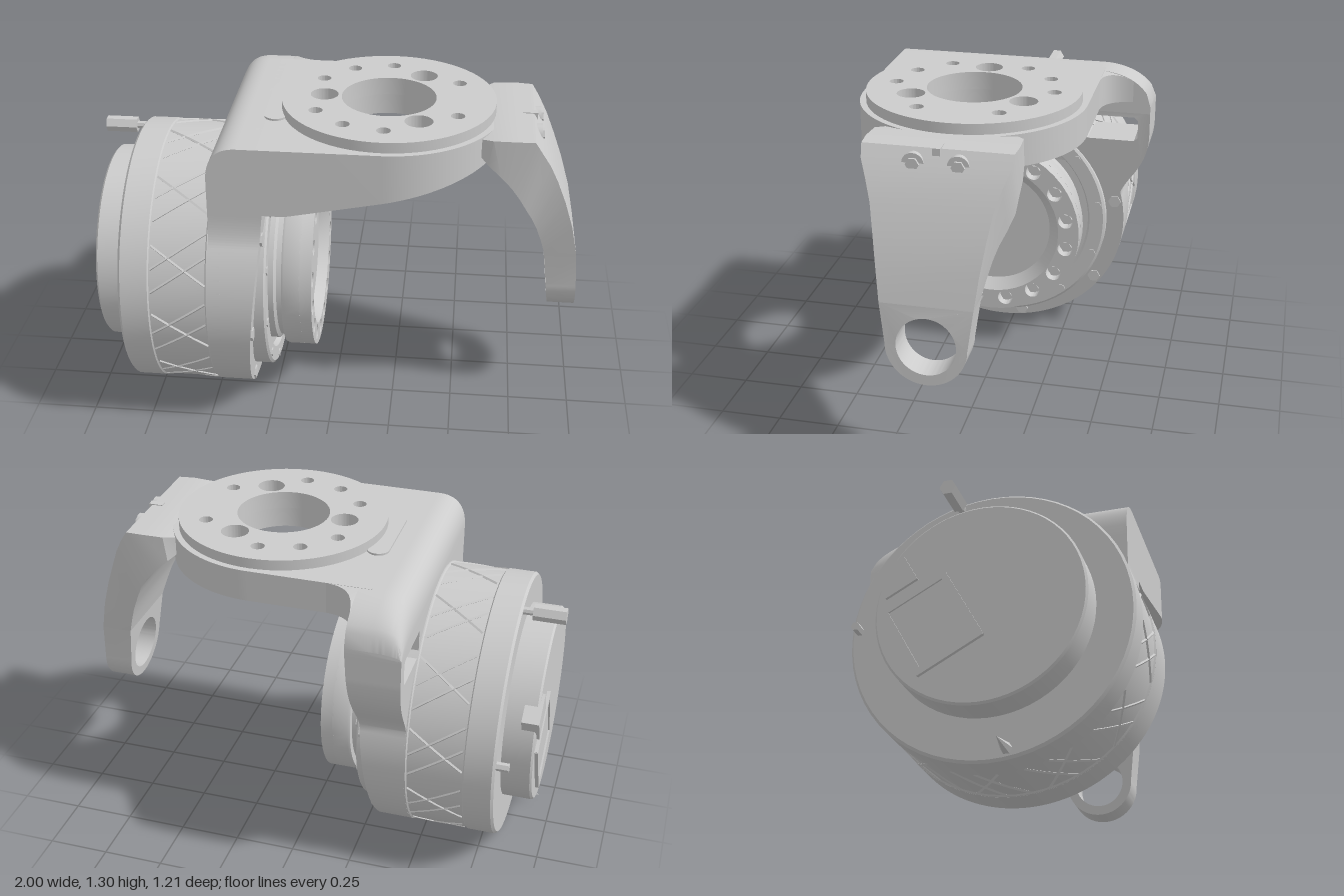
import * as THREE from 'three';
import { toCreasedNormals } from 'three/addons/utils/BufferGeometryUtils.js';

const CY = 0.56, CZ = 0.05; // motor axis, running along x
const grey = new THREE.MeshStandardMaterial({ color: 0xcccccc });
const TAU = Math.PI * 2;

export function createModel() {
  const model = new THREE.Group();

  function add(name, geo, parent = model, crease = 0.55) {
    const mesh = new THREE.Mesh(toCreasedNormals(geo, crease), grey);
    mesh.name = name;
    parent.add(mesh);
    return mesh;
  }
  function group(name) {
    const g = new THREE.Group();
    g.name = name;
    model.add(g);
    return g;
  }
  // Move every vertex of a geometry by a rule
  function reshape(geo, rule) {
    const p = geo.attributes.position;
    for (let i = 0; i < p.count; i++) p.setXYZ(i, ...rule(p.getX(i), p.getY(i), p.getZ(i)));
    return geo;
  }
  const circle = (x, y, r) => new THREE.Path().absarc(x, y, r, 0, TAU, true);
  const disc = (x, y, r) => new THREE.Shape().absarc(x, y, r, 0, TAU, false);
  const solid = (shape, depth, curveSegments = 32, steps = 1) =>
    new THREE.ExtrudeGeometry(shape, { depth, bevelEnabled: false, curveSegments, steps });
  // Shape drawn in (-z, y), pushed along x
  const extrudeX = (shape, x0, x1, seg) =>
    solid(shape, x1 - x0, seg).rotateY(Math.PI / 2).translate(x0, 0, 0);
  // Shape drawn in (x, -z), pushed along y
  const extrudeY = (shape, y0, y1, seg) =>
    solid(shape, y1 - y0, seg).rotateX(-Math.PI / 2).translate(0, y0, 0);
  // Profile of [radius, x] turned about the motor axis
  const turned = (pts) =>
    new THREE.LatheGeometry(pts.map(([r, x]) => new THREE.Vector2(r, x)), 64)
      .rotateZ(-Math.PI / 2).translate(0, CY, CZ);
  const rodX = (r, x0, x1, y, z, sides) =>
    new THREE.CylinderGeometry(r, r, x1 - x0, sides).rotateZ(-Math.PI / 2).translate((x0 + x1) / 2, y, z);
  const polar = (r, deg) => {
    const a = deg * Math.PI / 180;
    return { y: CY + r * Math.sin(a), z: CZ + r * Math.cos(a) };
  };

  // Motor body, with its shallow band and shoulder
  add('motorHousing', turned([[0, -0.83], [0.545, -0.83], [0.555, -0.82], [0.555, -0.71], [0.549, -0.705],
    [0.549, -0.48], [0.555, -0.475], [0.555, -0.42], [0, -0.42]]));

  // Criss-cross ribs on the band
  const ribs = group('bandRibs');
  for (let i = 0; i < 36; i++) {
    const pts = [];
    for (let k = 0; k <= 4; k++) {
      const p = polar(0.549, i * 10 + (i % 3 === 0 ? -1 : 1) * k * 4);
      pts.push(new THREE.Vector3(-0.7 + k * 0.055, p.y, p.z));
    }
    add('rib', new THREE.TubeGeometry(new THREE.CatmullRomCurve3(pts), 6, 0.006, 4), ribs);
  }

  // Rear cap with its connector boxes
  add('rearCap', turned([[0, -0.955], [0.4, -0.955], [0.408, -0.947], [0.408, -0.82], [0, -0.82]]).translate(0, 0.025, 0));
  const connector = group('rearConnector');
  add('connectorBlock', new THREE.BoxGeometry(0.06, 0.32, 0.28), connector);
  for (const s of [-1, 1]) {
    add('connectorSide', new THREE.BoxGeometry(0.075, 0.32, 0.025).translate(0, 0, s * 0.13), connector);
    add('connectorEnd', new THREE.BoxGeometry(0.075, 0.025, 0.28).translate(0, s * 0.15, 0), connector);
  }
  add('smallSocket', new THREE.BoxGeometry(0.07, 0.12, 0.14).translate(0, 0.26, -0.03), connector);
  connector.position.set(-0.932, 0.52, -0.13);
  connector.rotation.x = -0.5;

  // Rear studs
  const studs = group('rearStuds');
  add('studHead', rodX(0.033, -1, -0.87, 1.075, -0.07, 6), studs);
  add('studShaft', rodX(0.016, -0.88, -0.82, 1.075, -0.07, 8), studs);
  add('sideStud', rodX(0.018, -0.88, -0.82, 0.6, -0.47, 6), studs);
  add('lowerPin', new THREE.ConeGeometry(0.025, 0.13, 6).rotateZ(Math.PI / 2).translate(-0.885, 0.05, 0.12), studs);

  // Bracket wall: round collar below, windowed ear on the rear side
  const wall = new THREE.Shape();
  wall.moveTo(-0.505, 1.09);
  wall.lineTo(-0.505, 0.97);
  wall.quadraticCurveTo(-0.505, 0.88, -0.531, 0.8375);
  wall.absarc(-CZ, CY, 0.555, Math.PI * 5 / 6, TAU + 0.25, false);
  wall.bezierCurveTo(0.51, 0.77, 0.605, 0.83, 0.605, 0.98);
  wall.lineTo(0.605, 1.09);
  wall.closePath();
  const slot = new THREE.Path();
  slot.moveTo(0.34, 0.95);
  slot.lineTo(0.32, 0.97);
  slot.lineTo(0.32, 1.06);
  slot.lineTo(0.54, 1.06);
  slot.lineTo(0.555, 1.045);
  slot.lineTo(0.555, 0.965);
  slot.lineTo(0.54, 0.95);
  slot.closePath();
  wall.holes.push(slot);
  // Front face leans forward with height
  add('bracketWall', reshape(extrudeX(wall, -0.47, -0.34, 40), (x, y, z) => [
    x > -0.4 ? -0.345 + 0.09 * Math.min(y, 1.05) : x, y, z]));

  // Top edge falls away in a curve over the rear ear
  const earDrop = (x, y, z) => {
    const s = THREE.MathUtils.clamp((-0.38 - z) / 0.225, 0, 1);
    const top = 0.18 - 0.15 * (1 - Math.sqrt(1 - s * s));
    return [x, y > 1.081 ? 1.08 + (y - 1.08) * top / 0.18 : y, z];
  };

  // Rounded bend from the wall to the top plate
  const bend = new THREE.Shape();
  bend.moveTo(-0.47, 1.08);
  bend.lineTo(-0.47, 1.13);
  bend.quadraticCurveTo(-0.465, 1.26, -0.35, 1.26);
  bend.lineTo(-0.25, 1.26);
  bend.lineTo(-0.25, 1.08);
  bend.closePath();
  add('bracketBend', reshape(solid(bend, 1.11, 16, 60).translate(0, 0, -0.605), earDrop));

  // Fillet between the ear and the top plate
  const fillet = new THREE.Shape();
  fillet.moveTo(-0.29, 0.39);
  fillet.lineTo(-0.12, 0.39);
  fillet.lineTo(-0.12, 0.405);
  fillet.quadraticCurveTo(-0.235, 0.41, -0.25, 0.53);
  fillet.lineTo(-0.29, 0.53);
  fillet.closePath();
  add('earFillet', reshape(extrudeY(fillet, 1.13, 1.26, 12), (x, y, z) => (y > 1.2 ? earDrop(x, y, z) : [x, y, z])));

  // Top plate: D-shaped skirt around the ring seat
  const plate = new THREE.Shape();
  plate.moveTo(-0.3, -0.505);
  plate.lineTo(-0.17, -0.505);
  plate.lineTo(0.2, -0.505);
  plate.absarc(0.2, -CZ, 0.455, -Math.PI / 2, Math.PI / 2, false);
  plate.lineTo(-0.17, 0.405);
  plate.lineTo(-0.3, 0.405);
  plate.closePath();
  plate.holes.push(circle(0.2, -CZ, 0.36));
  // Underside slopes up along x on the front side and stays shallow on the rear side
  add('topPlate', reshape(extrudeY(plate, 1, 1.26), (x, y, z) => {
    if (y > 1.1) return [x, y, z];
    const slope = 0.98 + 0.205 * Math.max(0, x + 0.17);
    const t = THREE.MathUtils.clamp((z + 0.15) / 0.4, 0, 1);
    return [x, THREE.MathUtils.lerp(Math.max(1.13, slope), slope, t), z];
  }));

  // Mounting ring with its bolt holes: wide flange above, thick seat below
  function ringShape(radius) {
    const ring = disc(0.2, -CZ, radius);
    ring.holes.push(circle(0.2, -CZ, 0.19));
    for (let i = 1; i < 12; i++) {
      const a = i * TAU / 12, big = i % 4 === 2;
      const d = big ? 0.26 : 0.322, r = big ? 0.056 : 0.028;
      ring.holes.push(circle(0.2 + d * Math.cos(a), -CZ + d * Math.sin(a), r));
    }
    return ring;
  }
  add('mountingRing', extrudeY(ringShape(0.43), 1.23, 1.303));
  add('ringSeat', extrudeY(ringShape(0.36), 1.145, 1.23));

  // Oblong pad beside the ring
  const pad = new THREE.Shape();
  pad.absarc(-0.24, 0.09, 0.045, 0, Math.PI, false);
  pad.absarc(-0.24, -0.19, 0.045, Math.PI, TAU, false);
  pad.closePath();
  add('oblongPad', extrudeY(pad, 1.25, 1.268, 10));

  // Stepped collar and output flange
  add('stepRing', turned([[0, -0.4], [0.48, -0.4], [0.48, -0.258], [0.47, -0.25], [0.41, -0.25], [0.4, -0.27], [0, -0.27]]));
  add('flangeNeck', turned([[0, -0.3], [0.37, -0.3], [0.37, -0.235], [0.355, -0.225], [0.355, -0.19], [0, -0.19]]));
  add('flangeBack', turned([[0, -0.2], [0.385, -0.2], [0.39, -0.19], [0.39, -0.125], [0.3, -0.125]]));
  add('flangeRecess', turned([[0.3, -0.077], [0.255, -0.12], [0, -0.12]]));
  const flange = disc(-CZ, CY, 0.39);
  flange.holes.push(circle(-CZ, CY, 0.3));
  const bolts = group('bolts');
  for (let i = 0; i < 16; i++) {
    const p = polar(0.338, 11.25 + i * 22.5);
    flange.holes.push(circle(-p.z, p.y, 0.033));
    add('flangeBolt', rodX(0.024, -0.13, -0.098, p.y, p.z, 6), bolts);
  }
  add('flangeFace', extrudeX(flange, -0.13, -0.077, 24));
  for (let i = 0; i < 12; i++) {
    const p = polar(0.45, -10 + i * 30);
    add('stepBolt', rodX(0.018, -0.27, -0.245, p.y, p.z, 6), bolts);
  }
  for (let i = 0; i < 8; i++) {
    const p = polar(0.522, -10 + i * 45), x = -0.345 + 0.09 * p.y;
    add('collarBolt', rodX(0.028, x - 0.03, x + 0.008, p.y, p.z, 6), bolts);
  }

  // Curved arm: rows of outer x, outer y, inner x, inner y, half width
  const rows = [
    [0.57, 1.25, 0.57, 1.18, 0.25], [0.62, 1.26, 0.605, 1.155, 0.285], [0.71, 1.262, 0.655, 1.11, 0.29],
    [0.78, 1.26, 0.7, 1.06, 0.285], [0.81, 1.212, 0.735, 1.01, 0.28], [0.845, 1.15, 0.765, 0.95, 0.255],
    [0.88, 1.07, 0.79, 0.9, 0.23], [0.918, 0.97, 0.812, 0.85, 0.212], [0.955, 0.85, 0.834, 0.785, 0.194],
    [0.982, 0.72, 0.853, 0.72, 0.178]];
  const n = rows.length - 1;
  add('curvedArm', reshape(new THREE.BoxGeometry(1, 1, 1, 1, n, 1), (x, y, z) => {
    const row = rows[Math.round((0.5 - y) * n)], k = x > 0 ? 0 : 2;
    return [row[k], row[k + 1], CZ + Math.sign(z) * row[4]];
  }));

  // Eye at the end of the arm: a shoulder above the hole and a half ring below it
  const shoulder = new THREE.Shape();
  shoulder.moveTo(-CZ - 0.178, 0.72);
  shoulder.lineTo(-CZ - 0.157, CY);
  shoulder.lineTo(-CZ - 0.115, CY);
  shoulder.absarc(-CZ, CY, 0.115, Math.PI, 0, true);
  shoulder.lineTo(-CZ + 0.157, CY);
  shoulder.lineTo(-CZ + 0.178, 0.72);
  shoulder.closePath();
  const halfRing = new THREE.Shape();
  halfRing.absarc(-CZ, CY, 0.157, Math.PI, TAU, false);
  halfRing.absarc(-CZ, CY, 0.115, TAU, Math.PI, true);
  halfRing.closePath();
  add('armEye', reshape(extrudeX([shoulder, halfRing], 0, 1, 24), (x, y, z) => {
    const t = (0.72 - y) / 0.315, bow = Math.sqrt(Math.max(0, t));
    return [x > 0.5 ? 0.982 + 0.018 * bow : 0.853 + 0.037 * t, y, z];
  }));

  // Arm fixings: two bolts either side of a short rib
  for (const s of [-1, 1]) {
    add('armBoltCollar', rodX(0.042, 0.74, 0.812, 1.205, CZ + s * 0.085, 20), bolts);
    add('armBolt', rodX(0.026, 0.76, 0.822, 1.205, CZ + s * 0.085, 6), bolts);
  }
  add('armRib', new THREE.BoxGeometry(0.06, 0.08, 0.03).translate(0.765, 1.224, CZ));

  return model;
}
